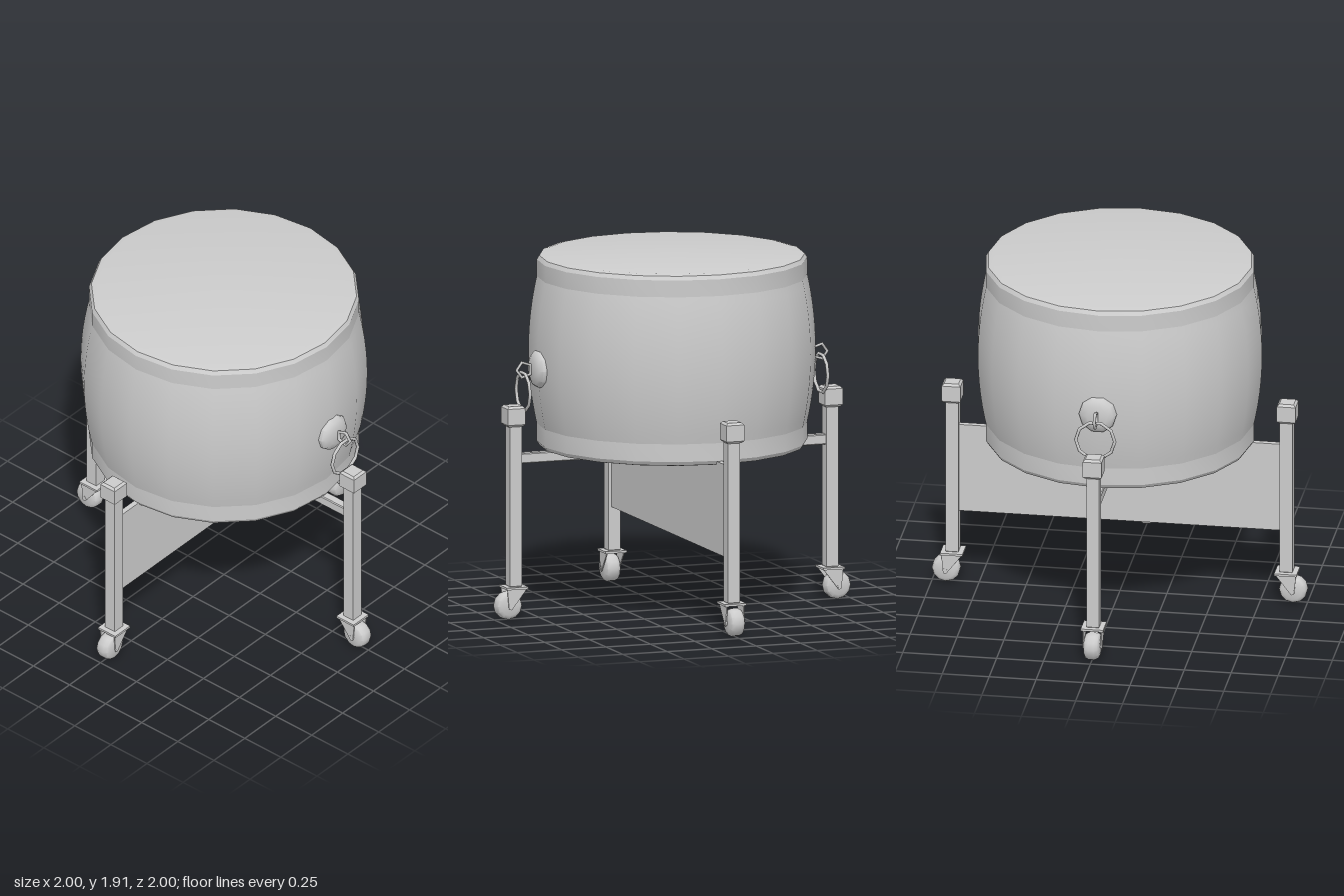
import * as THREE from 'three';
import { toCreasedNormals } from 'three/addons/utils/BufferGeometryUtils.js';

const grey = new THREE.MeshStandardMaterial({ color: 0xcccccc });
grey.name = 'plain grey';

function add(parent, name, geometry, x = 0, y = 0, z = 0) {
  const mesh = new THREE.Mesh(geometry, grey);
  mesh.name = name;
  mesh.position.set(x, y, z);
  parent.add(mesh);
  return mesh;
}

// Turned shape with crisp profile edges; points are [radius, height]
function turned(points, sides, crease = 0.5) {
  const profile = points.map(([r, y]) => new THREE.Vector2(r, y));
  return toCreasedNormals(new THREE.LatheGeometry(profile, sides), crease);
}

function polygon(points) {
  return new THREE.Shape(points.map(([x, y]) => new THREE.Vector2(x, y)));
}

// Box with all edges chamfered by c, centred
function chamferBox(w, h, d, c) {
  const a = w / 2 - c, b = d / 2 - c;
  const g = new THREE.ExtrudeGeometry(polygon([[-a, -b], [a, -b], [a, b], [-a, b]]), {
    depth: h - 2 * c, bevelEnabled: true, bevelSize: c, bevelThickness: c, bevelSegments: 1,
  });
  return g.center().rotateX(-Math.PI / 2);
}

// Post, cap and caster, standing on the +x side
function makeLeg() {
  const leg = new THREE.Group();
  leg.name = 'leg';
  add(leg, 'post', chamferBox(0.068, 0.93, 0.068, 0.009), 0.89, 0.635, 0);
  add(leg, 'postCap', chamferBox(0.1, 0.11, 0.1, 0.012), 0.893, 1.085, 0);
  add(leg, 'casterPlate', new THREE.BoxGeometry(0.12, 0.012, 0.12), 0.89, 0.17, 0);

  // Fork cheeks on both sides of the wheel
  const cheek = polygon([[0.835, 0.165], [0.92, 0.055], [0.935, 0.06], [0.945, 0.165]]);
  for (const s of [-1, 1]) {
    const g = new THREE.ExtrudeGeometry(cheek, { depth: 0.006, bevelEnabled: false });
    add(leg, 'casterFork', g, 0, 0, s * 0.048 - 0.003);
  }
  const wheel = turned([
    [0, -0.042], [0.05, -0.042], [0.066, -0.034], [0.075, -0.016],
    [0.075, 0.016], [0.066, 0.034], [0.05, 0.042], [0, 0.042],
  ], 12, 0.7);
  add(leg, 'casterWheel', wheel.rotateX(Math.PI / 2), 0.925, 0.075, 0);
  const axle = new THREE.CylinderGeometry(0.012, 0.012, 0.104, 8).rotateX(Math.PI / 2);
  add(leg, 'casterAxle', axle, 0.925, 0.075, 0);
  return leg;
}

// Boss, eye and hanging ring on the +x side
function makeHandle() {
  const handle = new THREE.Group();
  handle.name = 'handle';
  const boss = turned([[0.1, -0.05], [0.1, 0.02], [0.085, 0.038], [0.055, 0.05], [0, 0.052]], 10, 0.75);
  add(handle, 'handleBoss', boss.rotateZ(-Math.PI / 2), 0.74, 1.325, 0);
  add(handle, 'handleEye', new THREE.TorusGeometry(0.042, 0.009, 6, 5), 0.832, 1.325, 0);
  const ring = new THREE.TorusGeometry(0.104, 0.009, 6, 10).rotateY(Math.PI / 2);
  add(handle, 'handleRing', ring, 0.838, 1.21, 0);
  return handle;
}

export function createModel() {
  const model = new THREE.Group();
  model.name = 'drumOnStand';

  // Bulging barrel
  const barrel = [];
  for (let i = 0; i <= 12; i++) {
    const t = i / 6 - 1;
    barrel.push([0.757 - 0.05 * t * t, 1.39 + 0.42 * t]);
  }
  add(model, 'drumBody', turned(barrel, 20, 0.6));

  // Rims and drum heads
  add(model, 'topHead', turned([
    [0.69, 1.755], [0.713, 1.765], [0.713, 1.872], [0.70, 1.893], [0.67, 1.9], [0, 1.906],
  ], 20));
  add(model, 'bottomHead', turned([
    [0, 0.868], [0.67, 0.876], [0.70, 0.882], [0.713, 0.903], [0.713, 1.005], [0.69, 1.015],
  ], 20));

  // Four legs and two handles
  for (let i = 0; i < 4; i++) {
    const leg = makeLeg();
    leg.rotation.y = i * Math.PI / 2;
    model.add(leg);
  }
  for (let i = 0; i < 2; i++) {
    const handle = makeHandle();
    handle.rotation.y = i * Math.PI;
    model.add(handle);
  }

  // Crossbar and notched board
  add(model, 'crossbar', chamferBox(1.72, 0.055, 0.05, 0.005), 0, 0.857, 0);
  const board = polygon([
    [-0.86, 0.408], [0.86, 0.408], [0.86, 0.9], [0.1, 0.9],
    [0.1, 0.838], [-0.15, 0.838], [-0.15, 0.9], [-0.86, 0.9],
  ]);
  const boardGeometry = new THREE.ExtrudeGeometry(board, { depth: 0.03, bevelEnabled: false });
  add(model, 'board', boardGeometry.translate(0, 0, -0.015).rotateY(-Math.PI / 2));

  return model;
}
